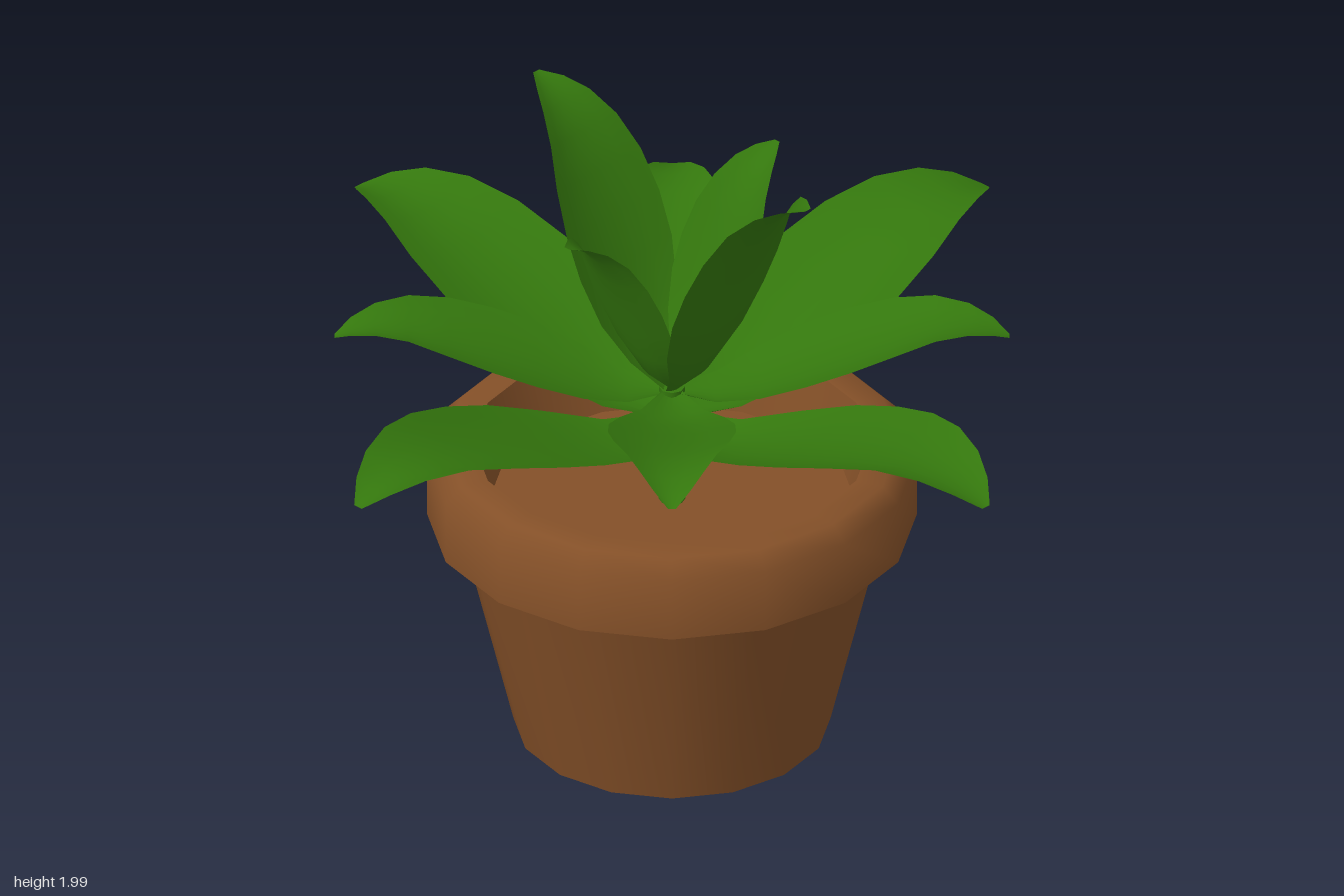
import * as THREE from 'three';
import { toCreasedNormals } from 'three/addons/utils/BufferGeometryUtils.js';

const terracotta = new THREE.MeshStandardMaterial({ color: 0x845028 });
const earth = new THREE.MeshStandardMaterial({ color: 0x845028, side: THREE.DoubleSide });
const green = new THREE.MeshStandardMaterial({ color: 0x34770d, side: THREE.DoubleSide });

// Leaf stations along its length: [distance, half width, midrib height, edge lift]
const LEAF = [
  [0.0, 0.02, 0.0, 0.01],
  [0.13, 0.09, -0.005, 0.02],
  [0.26, 0.155, 0.03, 0.035],
  [0.4, 0.187, 0.085, 0.04],
  [0.53, 0.19, 0.135, 0.04],
  [0.66, 0.172, 0.182, 0.038],
  [0.78, 0.135, 0.217, 0.033],
  [0.88, 0.095, 0.222, 0.025],
  [0.95, 0.055, 0.208, 0.015],
  [1.0, 0.012, 0.19, 0.0],
];

// Arched, slightly cupped leaf growing along +z
function leafGeometry() {
  const cols = 6;
  const geo = new THREE.PlaneGeometry(2, 1, cols, LEAF.length - 1);
  const pos = geo.attributes.position;
  for (let i = 0; i < pos.count; i++) {
    const u = pos.getX(i);
    const [d, w, mid, lift] = LEAF[Math.floor(i / (cols + 1))];
    pos.setXYZ(i, w * u, mid + lift * u * u, d);
  }
  geo.computeVertexNormals();
  return geo;
}

export function createModel() {
  const model = new THREE.Group();
  model.name = 'pottedPlant';

  const add = (name, geo, material) => {
    const mesh = new THREE.Mesh(geo, material);
    mesh.name = name;
    model.add(mesh);
    return mesh;
  };

  // Pot: open tapered tube with a thick bevelled rim
  const profile = [
    [0.59, 0.95], [0.35, 0], [0.47, 0], [0.64, 0.7], [0.725, 0.7],
    [0.725, 0.9], [0.675, 0.95], [0.59, 0.95],
  ].map(([r, y]) => new THREE.Vector2(r, y));
  add('pot', toCreasedNormals(new THREE.LatheGeometry(profile, 16), 0.9), terracotta);

  // Soil
  const soil = add('soil', new THREE.CircleGeometry(0.54, 16), earth);
  soil.rotation.x = -Math.PI / 2;
  soil.position.y = 0.755;

  // Stem
  const stem = add('stem', new THREE.CylinderGeometry(0.038, 0.04, 0.385, 8), green);
  stem.position.y = 0.9475;

  // Leaves: whorls of spreading and upright leaves around the stem
  const geo = leafGeometry();
  const addLeaves = (name, count, startDeg, baseY, scale, tiltDeg) => {
    for (let i = 0; i < count; i++) {
      const leaf = add(name, geo, green);
      leaf.rotation.order = 'YXZ';
      leaf.rotation.y = THREE.MathUtils.degToRad(startDeg) + (i * Math.PI * 2) / count;
      leaf.rotation.x = -THREE.MathUtils.degToRad(tiltDeg);
      leaf.position.y = baseY;
      leaf.scale.setScalar(scale);
    }
  };
  addLeaves('lowerLeaf', 4, 45, 1.03, 1.315, 0);
  addLeaves('middleLeaf', 4, 0, 1.125, 1, 0);
  addLeaves('tallLeaf', 2, 45, 1.12, 1.02, 46);
  addLeaves('shortLeaf', 2, 135, 1.13, 0.79, 46);

  return model;
}
